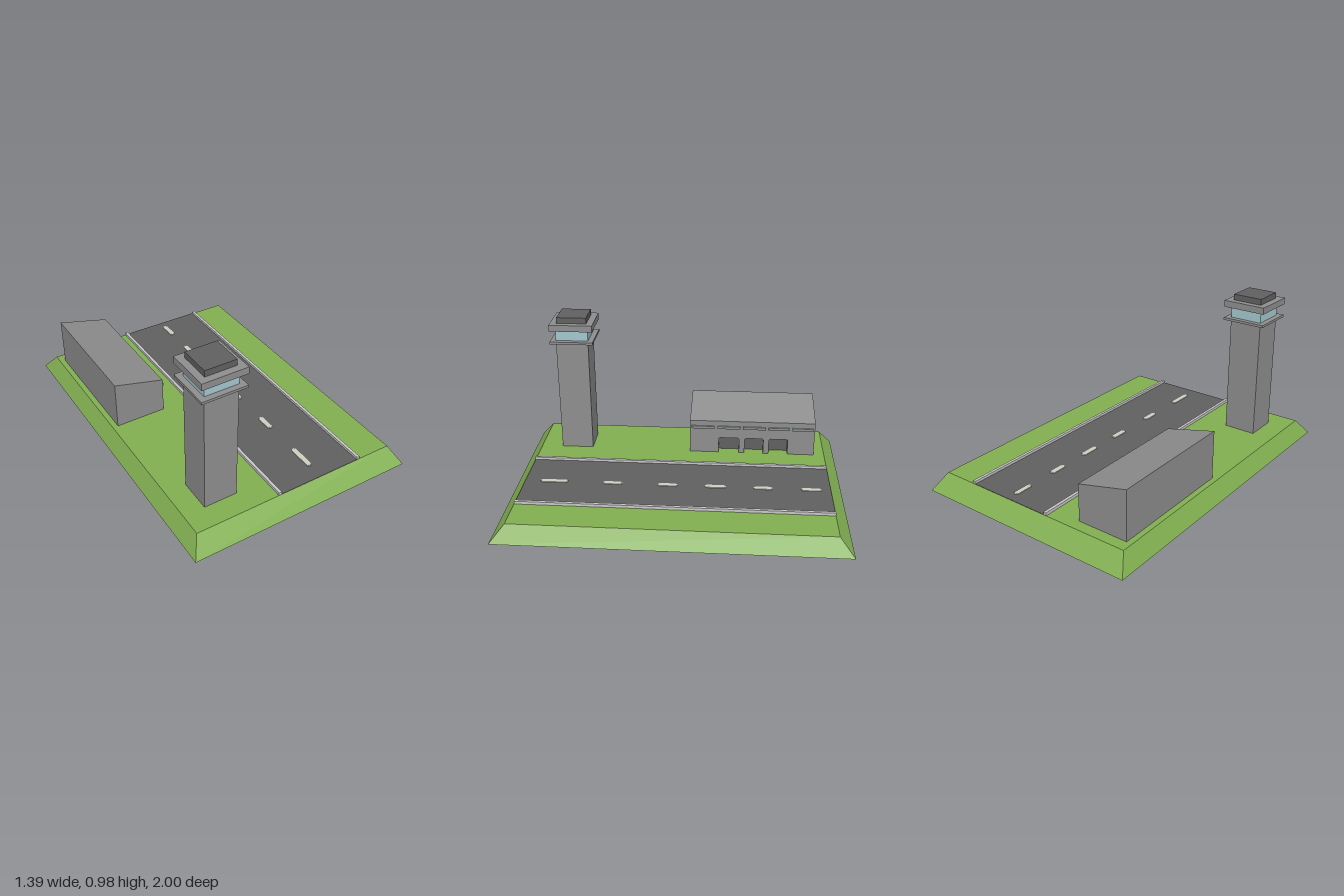
import * as THREE from 'three';

const mat = (name, color) => Object.assign(new THREE.MeshStandardMaterial({ color }), { name });

export function createModel() {
  const grass = mat('grass', 0x82b052);
  const concrete = mat('concrete', 0x8f8f8f);
  const asphalt = mat('asphalt', 0x616161);
  const glass = mat('glass', 0xa4c9cf);
  const edgeWhite = mat('edge white', 0xc8c8c8);
  const dashWhite = mat('dash white', 0xccd2c4);

  const model = new THREE.Group();
  model.name = 'airfield';
  const group = (name) => {
    const g = new THREE.Group();
    g.name = name;
    model.add(g);
    return g;
  };
  const add = (parent, name, geometry, material) => {
    const mesh = new THREE.Mesh(geometry, material);
    mesh.name = name;
    parent.add(mesh);
    return mesh;
  };
  // box given by its minimum and maximum on each axis
  const box = (parent, name, material, x0, x1, y0, y1, z0, z1) => {
    const mesh = add(parent, name, new THREE.BoxGeometry(x1 - x0, y1 - y0, z1 - z0), material);
    mesh.position.set((x0 + x1) / 2, (y0 + y1) / 2, (z0 + z1) / 2);
    return mesh;
  };

  // grass base with sloping sides
  const baseGeo = new THREE.BoxGeometry(1.39, 0.1, 2).translate(0, 0.05, 0);
  const bp = baseGeo.attributes.position;
  for (let i = 0; i < bp.count; i++) {
    if (bp.getY(i) > 0.05) {
      bp.setX(i, Math.sign(bp.getX(i)) * 0.637);
      bp.setZ(i, Math.sign(bp.getZ(i)) * 0.915);
    }
  }
  baseGeo.computeVertexNormals();
  add(model, 'grassBase', baseGeo, grass);

  // runway with raised edges and a dashed centre line
  const runway = group('runway');
  box(runway, 'runwaySurface', asphalt, -0.125, 0.425, 0.095, 0.102, -0.915, 0.915);
  for (const x of [-0.117, 0.42]) {
    box(runway, 'runwayEdge', edgeWhite, x - 0.009, x + 0.009, 0.1, 0.118, -0.915, 0.915);
  }
  const dashes = [[-0.86, -0.74], [-0.57, -0.46], [-0.295, -0.17], [-0.005, 0.11], [0.325, 0.44], [0.655, 0.82]];
  for (const [z0, z1] of dashes) {
    box(runway, 'centreDash', dashWhite, 0.141, 0.171, 0.1, 0.106, z0 + 0.008, z1 - 0.008);
    box(runway, 'centreDashTips', dashWhite, 0.148, 0.164, 0.1, 0.1055, z0, z1);
  }

  // control tower, stacked from square blocks
  const tower = group('controlTower');
  const tx = -0.409, tz = 0.68;
  const levels = [
    ['towerShaft', concrete, 0.1, 0.1, 0.817],
    ['towerBalcony', concrete, 0.133, 0.817, 0.832],
    ['towerWindows', glass, 0.1, 0.832, 0.9],
    ['towerRoof', concrete, 0.133, 0.9, 0.94],
    ['towerCap', asphalt, 0.092, 0.94, 0.976],
  ];
  for (const [name, material, h, y0, y1] of levels) {
    box(tower, name, material, tx - h, tx + h, y0, y1, tz - h, tz + h);
  }

  // terminal: body behind, front wall with door recesses, sloping roof line
  const terminal = group('terminal');
  const xBack = -0.604, xFront = -0.295, xDoor = -0.35, zNear = -0.055, zFar = -0.848;
  const roofY = (x) => 0.396 - ((x - xBack) / (xFront - xBack)) * 0.076;
  const body = new THREE.Shape();
  body.moveTo(xBack, 0.1);
  body.lineTo(xDoor, 0.1);
  body.lineTo(xDoor, roofY(xDoor));
  body.lineTo(xBack, roofY(xBack));
  body.closePath();
  const bodyGeo = new THREE.ExtrudeGeometry(body, { depth: zNear - zFar, bevelEnabled: false });
  add(terminal, 'terminalBody', bodyGeo.translate(0, 0, zFar), concrete);

  const doors = [[0.24, 0.37], [0.405, 0.525], [0.56, 0.68]]; // distances along -z
  const wall = new THREE.Shape();
  wall.moveTo(-zNear, 0.1);
  const r = 0.012, top = 0.203;
  for (const [a, b] of doors) {
    wall.lineTo(a, 0.1);
    wall.lineTo(a, top - r);
    wall.quadraticCurveTo(a, top, a + r, top);
    wall.lineTo(b - r, top);
    wall.quadraticCurveTo(b, top, b, top - r);
    wall.lineTo(b, 0.1);
  }
  wall.lineTo(-zFar, 0.1);
  wall.lineTo(-zFar, 0.35);
  wall.lineTo(-zNear, 0.35);
  wall.closePath();
  const wallGeo = new THREE.ExtrudeGeometry(wall, { depth: xFront - xDoor, bevelEnabled: false, curveSegments: 4 });
  wallGeo.rotateY(Math.PI / 2).translate(xDoor, 0, 0);
  const wp = wallGeo.attributes.position;
  for (let i = 0; i < wp.count; i++) {
    if (wp.getY(i) > 0.3) wp.setY(i, roofY(wp.getX(i)));
  }
  wallGeo.computeVertexNormals();
  add(terminal, 'terminalFrontWall', wallGeo, concrete);
  for (const [a, b] of doors) {
    box(terminal, 'door', asphalt, xDoor - 0.002, xDoor + 0.004, 0.1, top, -b, -a);
  }

  // high strip windows with a front rail
  const windows = [[0.065, 0.21], [0.23, 0.375], [0.393, 0.537], [0.555, 0.685], [0.705, 0.838]];
  for (const [a, b] of windows) {
    box(terminal, 'stripWindow', glass, xFront - 0.005, xFront + 0.007, 0.269, 0.286, -b, -a);
    box(terminal, 'windowRail', concrete, xFront + 0.007, xFront + 0.01, 0.269, 0.286, -b, -a);
  }
  return model;
}
